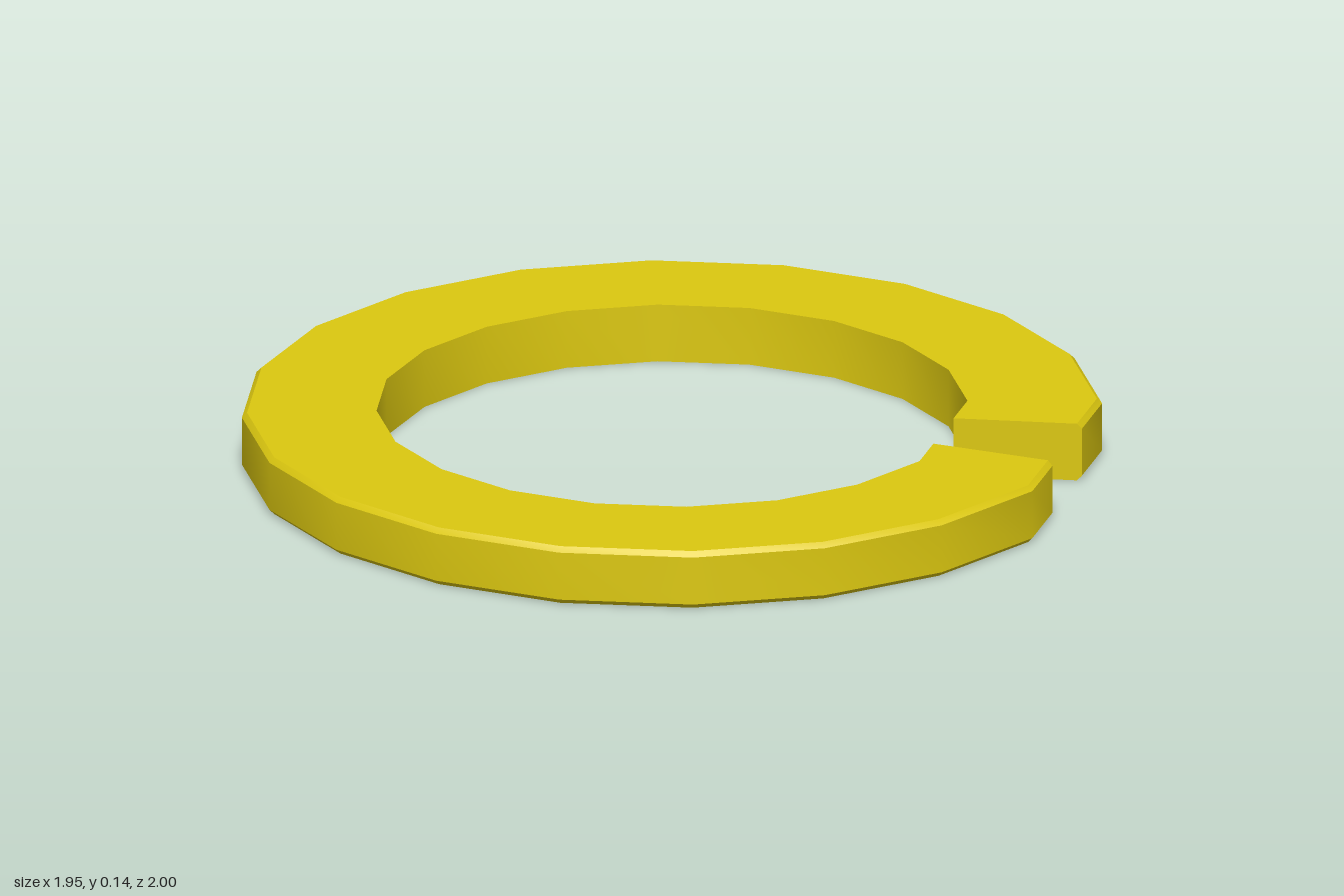
import * as THREE from 'three';
import { toCreasedNormals } from 'three/addons/utils/BufferGeometryUtils.js';

const OUTER = 1, INNER = 0.687, HEIGHT = 0.14, BEVEL = 0.012, SIDES = 20;
const CENTER_X = 0.0245;

// Cross-section (radius, y), counter-clockwise, bevelled on the outer rim only
const SECTION = [
  [INNER, 0], [OUTER - BEVEL, 0], [OUTER, BEVEL],
  [OUTER, HEIGHT - BEVEL], [OUTER - BEVEL, HEIGHT], [INNER, HEIGHT],
];

function splitRingGeometry() {
  const step = (2 * Math.PI) / SIDES;
  const cut = Math.atan2(0.13, 0.951); // half angle of the gap
  const cutScale = Math.cos(step) / Math.cos(cut); // keeps the end facets parallel to z

  // Stations round the ring, from one cut to the other
  const stations = [[cut, cutScale]];
  for (let i = 1; i < SIDES; i++) stations.push([i * step, 1]);
  stations.push([2 * Math.PI - cut, cutScale]);

  const positions = [], index = [];
  for (const [a, s] of stations) {
    for (const [r, y] of SECTION) positions.push(r * s * Math.cos(a), y, r * s * Math.sin(a));
  }

  // Walls between neighbouring sections
  const n = SECTION.length, last = (stations.length - 1) * n;
  for (let i = 0; i < last; i += n) {
    for (let j = 0; j < n; j++) {
      const k = (j + 1) % n;
      const a = i + j, b = i + k, c = i + n + k, d = i + n + j;
      index.push(a, b, c, a, c, d);
    }
  }
  // Flat faces at the gap
  for (let j = 1; j < n - 1; j++) {
    index.push(0, j + 1, j, last, last + j, last + j + 1);
  }

  const geometry = new THREE.BufferGeometry();
  geometry.setAttribute('position', new THREE.Float32BufferAttribute(positions, 3));
  // Wind every face outward: the sweep runs from +x towards +z
  geometry.setIndex(index);
  if (signedVolume(positions, index) < 0) geometry.setIndex(index.reverse());
  return toCreasedNormals(geometry, 0.6);
}

function signedVolume(p, index) {
  const at = (i) => new THREE.Vector3().fromArray(p, i * 3);
  let volume = 0;
  for (let i = 0; i < index.length; i += 3) {
    volume += at(index[i]).dot(at(index[i + 1]).cross(at(index[i + 2])));
  }
  return volume;
}

export function createModel() {
  const group = new THREE.Group();
  group.name = 'splitWasher';
  const ring = new THREE.Mesh(
    splitRingGeometry(),
    new THREE.MeshStandardMaterial({ color: 0xdcc810 }),
  );
  ring.name = 'splitRing';
  ring.position.x = CENTER_X;
  group.add(ring);
  return group;
}
